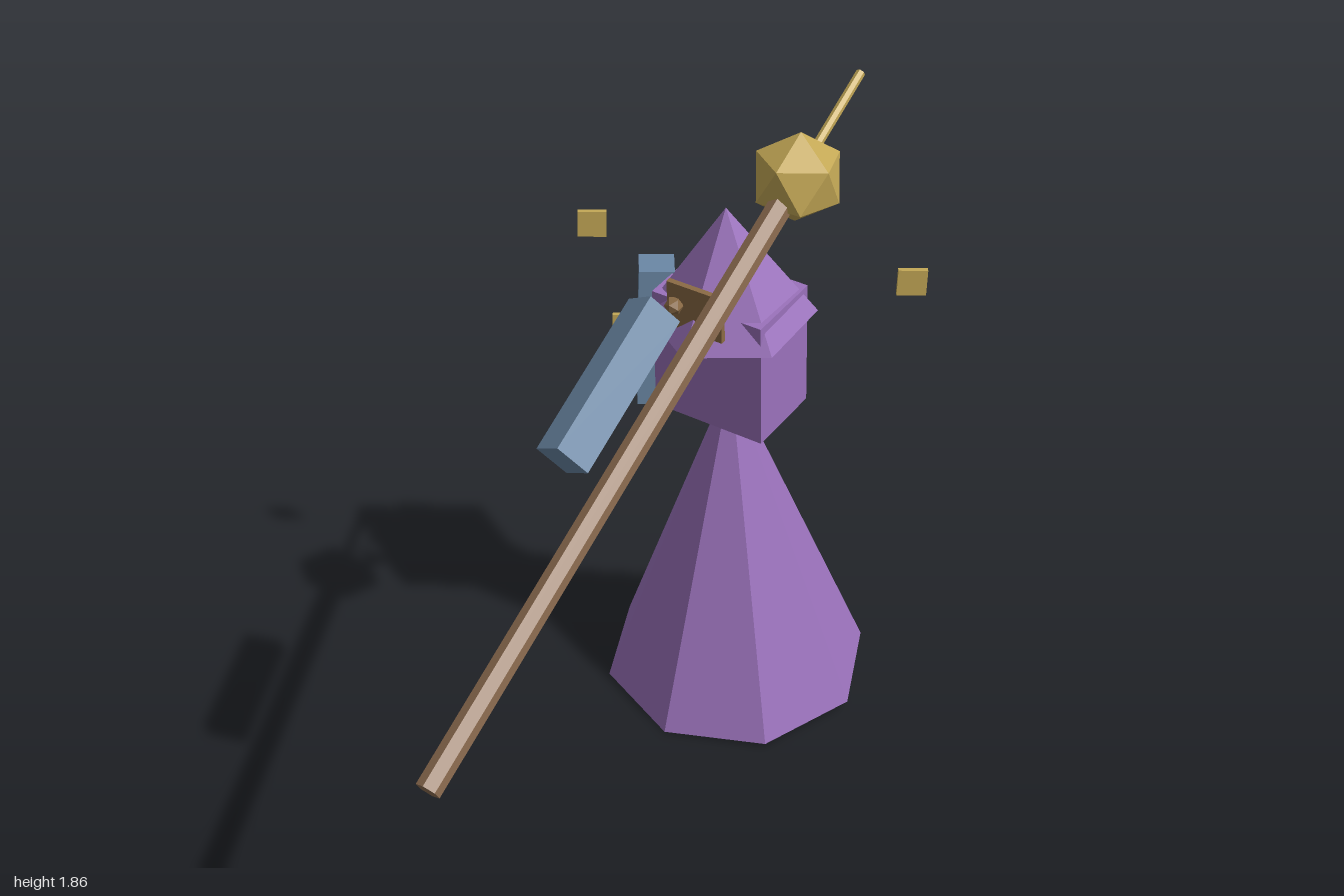
import * as THREE from 'three';

const mat = (name, color) => {
  const m = new THREE.MeshStandardMaterial({ color, flatShading: true });
  m.name = name;
  return m;
};

export function createModel() {
  const purple = mat('purple cloth', 0x9b72bc);
  const blue = mat('blue sleeve', 0x6b88a6);
  const wood = mat('staff wood', 0x8f6e52);
  const brown = mat('face brown', 0x8b6b45);
  const gold = mat('gold', 0xc4a856);

  const model = new THREE.Group();
  const add = (parent, name, geo, material, x, y, z, rx = 0, ry = 0) => {
    const mesh = new THREE.Mesh(geo, material);
    mesh.name = name;
    mesh.position.set(x, y, z);
    mesh.rotation.set(rx, ry, 0);
    parent.add(mesh);
    return mesh;
  };
  const group = (name, x, y, z, rx = 0) => {
    const g = new THREE.Group();
    g.name = name;
    g.position.set(x, y, z);
    g.rotation.x = rx;
    model.add(g);
    return g;
  };

  // Robe: eight-sided cone leaning forward
  const robe = group('robe', -0.03, 0.031, -0.662, 0.0887);
  add(robe, 'robeCone', new THREE.ConeGeometry(0.338, 0.914, 8), purple, 0, 0.457, 0);

  // Torso, whose upper corners break through the hat brim
  const torso = group('torso', -0.03, 0.868, -0.588, 0.08);
  add(torso, 'torsoBox', new THREE.BoxGeometry(0.295, 0.328, 0.205), purple, 0, 0.164, 0);

  // Hat with the face plate and eyes on its front edge
  const hat = group('hat', -0.03, 1.131, -0.568, 0.125);
  add(hat, 'hatCone', new THREE.ConeGeometry(0.203, 0.291, 6), purple, 0, 0.1455, 0);
  const face = group('face', -0.028, 1.209, -0.414, 0.1);
  add(face, 'facePlate', new THREE.BoxGeometry(0.145, 0.122, 0.014), brown, 0, 0, 0);
  for (const s of [-1, 1]) {
    add(face, s > 0 ? 'leftEye' : 'rightEye', new THREE.IcosahedronGeometry(0.023, 0),
      brown, s * 0.048, 0.007, 0.016);
  }

  // Sleeves: the right hangs down, the left reaches out along the staff
  const sleeve = new THREE.BoxGeometry(0.084, 0.37, 0.084);
  add(model, 'rightSleeve', sleeve, blue, -0.23, 1.012, -0.557, 0, 0.61);
  add(model, 'leftSleeve', sleeve, blue, 0.175, 1.43, 0.224, -Math.PI / 3, -0.61);

  // Staff: built upright, then tipped back by sixty degrees
  const staff = group('staff', 0.297, 0.985, 0.988, -Math.PI / 3);
  add(staff, 'staffShaft', new THREE.CylinderGeometry(0.026, 0.026, 1.4, 6), wood, 0, 0.7, 0);
  add(staff, 'staffOrb', new THREE.IcosahedronGeometry(0.1, 0), gold, 0, 1.455, 0);
  add(staff, 'staffTip', new THREE.CylinderGeometry(0.01, 0.01, 0.27, 6), gold, 0, 1.595, 0);

  // Small floating tiles
  const tile = new THREE.BoxGeometry(0.066, 0.064, 0.012);
  [[-0.314, 1.343, -0.413], [0.381, 1.302, -0.665], [-0.384, 0.92, -0.658]]
    .forEach(([x, y, z], i) => add(model, 'floatingTile' + (i + 1), tile, gold, x, y, z, 0, 0.6));

  return model;
}
